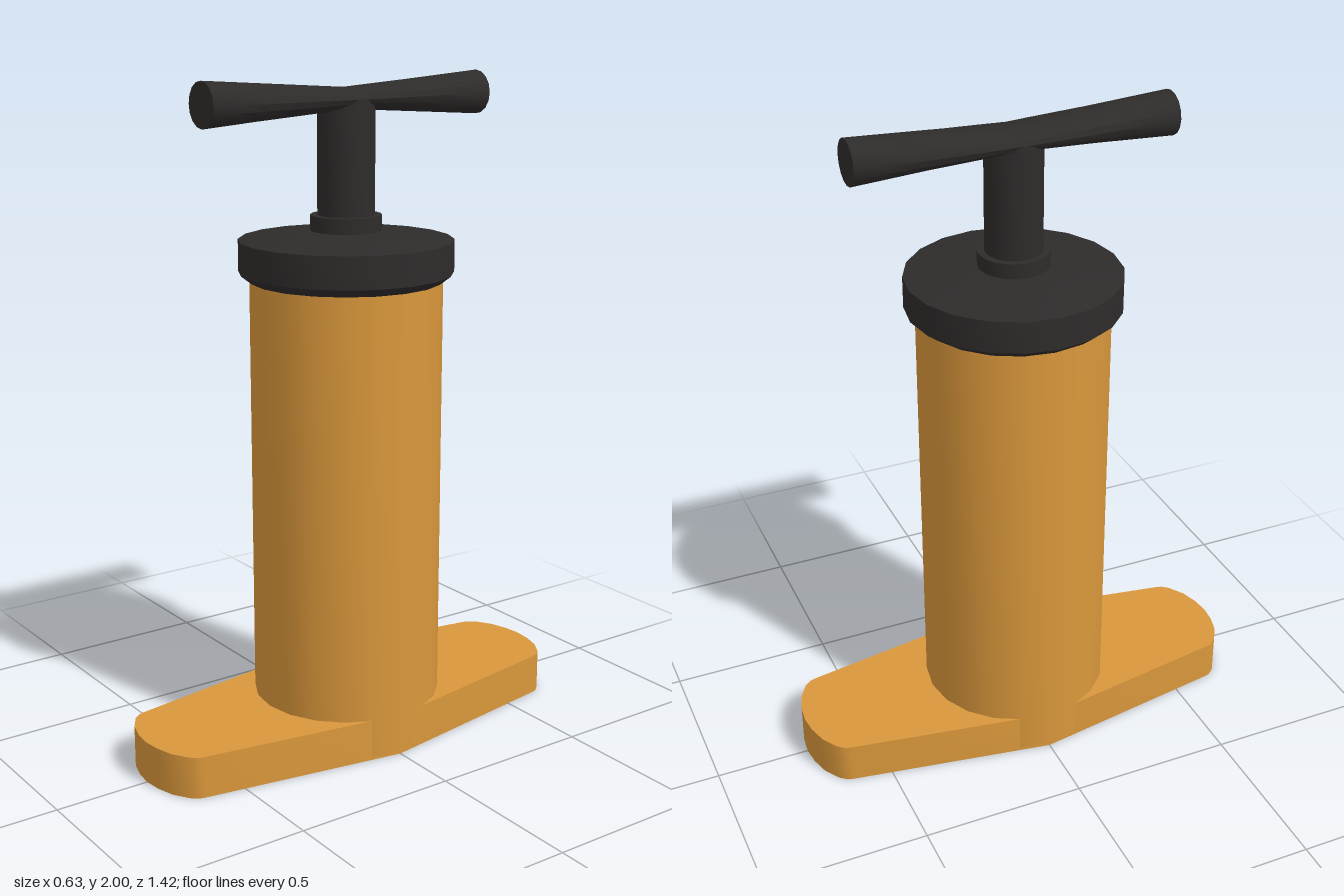
import * as THREE from 'three';
import { toCreasedNormals } from 'three/addons/utils/BufferGeometryUtils.js';

const orange = new THREE.MeshStandardMaterial({ color: 0xd9973b });
const black = new THREE.MeshStandardMaterial({ color: 0x2e2c2b });

function part(name, geometry, material) {
  const mesh = new THREE.Mesh(toCreasedNormals(geometry, 0.5), material);
  mesh.name = name;
  return mesh;
}

// Turned part from [radius, height] pairs, with a corner on the x axis
function turned(profile, sides) {
  return new THREE.LatheGeometry(profile.map(([r, y]) => new THREE.Vector2(r, y)), sides);
}

// Foot plate: tapered towards both rounded ends
function footPlate() {
  const quarter = [[0.283, 0], [0.181, 0.619], [0.176, 0.638], [0.158, 0.66], [0.11, 0.69], [0.055, 0.706], [0, 0.712]];
  const half = [...quarter, ...quarter.slice(0, -1).reverse().map(([x, z]) => [-x, z])];
  const outline = [...half, ...half.slice(1, -1).map(([x, z]) => [-x, -z])];
  const shape = new THREE.Shape(outline.map(([x, z]) => new THREE.Vector2(x, z)));
  const geometry = new THREE.ExtrudeGeometry(shape, { depth: 0.127, bevelEnabled: false });
  return geometry.rotateX(-Math.PI / 2);
}

// Grip: round ends, pinched in height and widened in the middle
function grip() {
  const length = 0.96;
  const geometry = new THREE.CylinderGeometry(1, 1, length, 16, 12).rotateX(Math.PI / 2);
  const p = geometry.attributes.position;
  for (let i = 0; i < p.count; i++) {
    const t = Math.abs(p.getZ(i)) / (length / 2);
    p.setX(i, p.getX(i) * (0.083 - 0.017 * t ** 1.5));
    p.setY(i, p.getY(i) * (0.031 + 0.034 * t));
  }
  return geometry.translate(0, 1.935, 0);
}

export function createModel() {
  const group = new THREE.Group();
  group.name = 'handPump';
  group.add(
    part('footPlate', footPlate(), orange),
    part('barrel', turned([[0, 0.01], [0.285, 0.01], [0.285, 1.42], [0, 1.42]], 20), orange),
    part('cap', turned([[0, 1.41], [0.285, 1.41], [0.317, 1.435], [0.317, 1.53], [0.105, 1.557], [0, 1.557]], 20), black),
    part('collar', turned([[0.105, 1.54], [0.105, 1.602], [0, 1.602]], 20), black),
    part('shaft', turned([[0.084, 1.59], [0.084, 1.935], [0, 1.935]], 20), black),
    part('grip', grip(), black),
  );
  return group;
}
